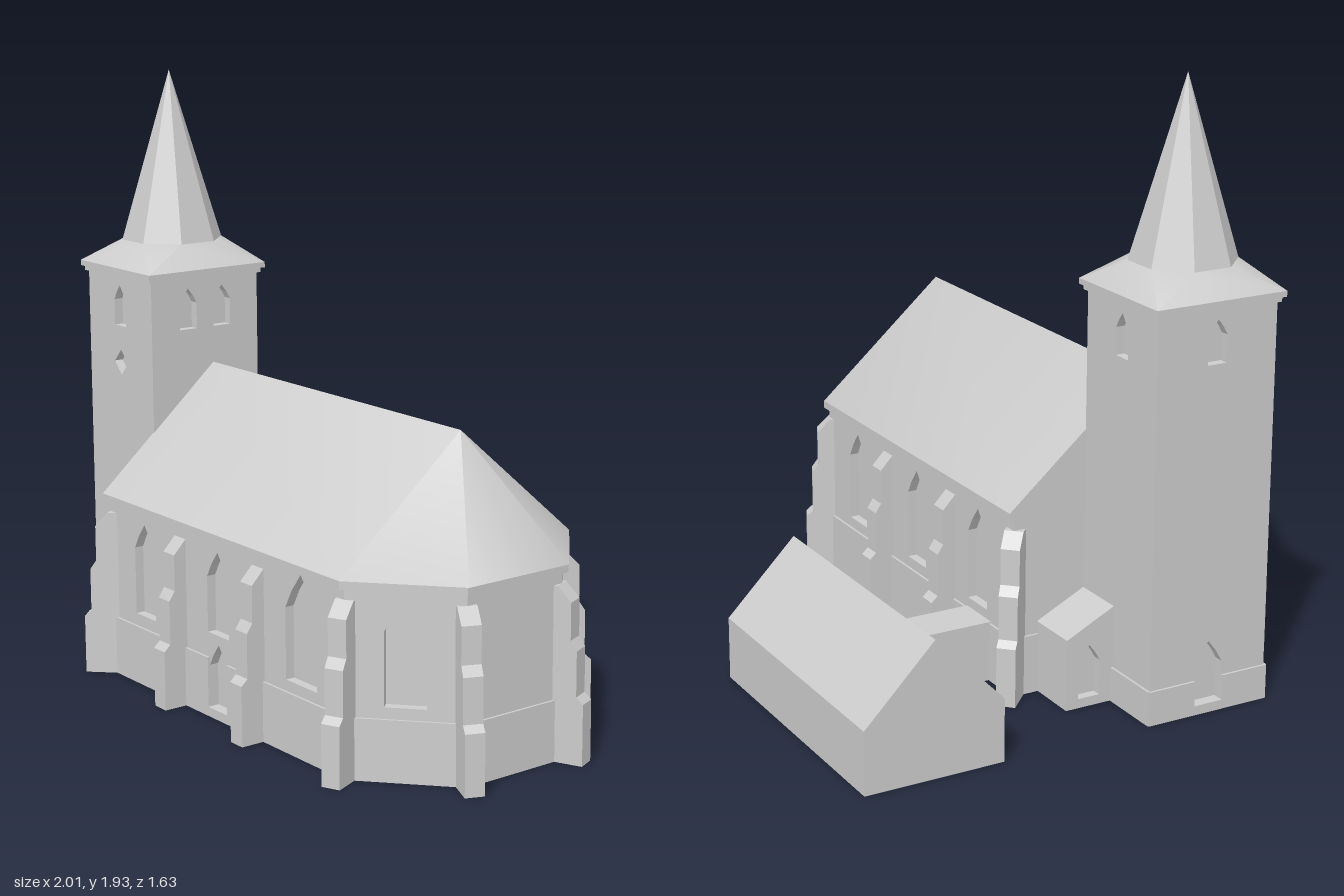
import * as THREE from 'three';
import { toCreasedNormals } from 'three/addons/utils/BufferGeometryUtils.js';
import { ConvexGeometry } from 'three/addons/geometries/ConvexGeometry.js';

const stone = new THREE.MeshStandardMaterial({ color: 0xcccccc });
stone.name = 'pale stone';

const WALL = 0.03; // wall thickness, also the depth of window recesses

function add(parent, name, geometry) {
  const mesh = new THREE.Mesh(geometry, stone);
  mesh.name = name;
  parent.add(mesh);
  return mesh;
}

// Upright prism over a footprint of [x, z] points
function prism(points, y0, y1) {
  const shape = new THREE.Shape(points.map(([x, z]) => new THREE.Vector2(x, -z)));
  return new THREE.ExtrudeGeometry(shape, { depth: y1 - y0, bevelEnabled: false })
    .rotateX(-Math.PI / 2).translate(0, y0, 0);
}

function rect(x0, x1, z0, z1) {
  return [[x0, z1], [x1, z1], [x1, z0], [x0, z0]];
}

function hull(points, crease = 0.01) {
  return toCreasedNormals(new ConvexGeometry(points.map(p => new THREE.Vector3(...p))), crease);
}

// Pointed opening, or a diamond: u = centre along the wall, w = width
function openingPath({ u, w, y0, y1, diamond }) {
  const h = w / 2, spring = y1 - w * 0.75, mid = (y0 + y1) / 2;
  const pts = diamond
    ? [[u, y0], [u + h, mid], [u, y1], [u - h, mid]]
    : [[u - h, y0], [u + h, y0], [u + h, spring], [u + h * 0.6, spring + w * 0.36],
      [u, y1], [u - h * 0.6, spring + w * 0.36], [u - h, spring]];
  return new THREE.Path(pts.map(p => new THREE.Vector2(...p)));
}

// Wall from a to b (outside on the right hand), with openings and a plinth notched for doors
function wall(parent, name, a, b, h, openings = [], plinth = 0, hEnd = h) {
  const dx = b[0] - a[0], dz = b[1] - a[1], len = Math.hypot(dx, dz);
  const group = new THREE.Group();
  group.name = name;
  group.position.set(a[0], 0, a[1]);
  group.rotation.y = Math.atan2(-dz, dx);
  parent.add(group);
  const outline = pts => new THREE.Shape(pts.map(p => new THREE.Vector2(...p)));
  const face = outline([[0, 0], [len, 0], [len, hEnd], [0, h]]);
  face.holes = openings.map(openingPath);
  add(group, name + 'Face', new THREE.ExtrudeGeometry(face, { depth: WALL, bevelEnabled: false })
    .translate(0, 0, -WALL));
  if (!plinth) return;
  const e = 0.004, pts = [[-e, 0], [len + e, 0], [len + e, plinth]];
  for (const o of openings.filter(o => o.y0 < plinth)) {
    const l = o.u - o.w / 2, r = o.u + o.w / 2;
    pts.push([r, plinth], [r, o.y0], [l, o.y0], [l, plinth]);
  }
  pts.push([-e, plinth]);
  add(group, name + 'Plinth', new THREE.ExtrudeGeometry(outline(pts), { depth: 0.008, bevelEnabled: false }));
}

// Stepped buttress at (x, z), pointing outwards along (dx, dz)
function buttress(parent, x, z, dx, dz) {
  const profile = [[-0.04, 0], [0.085, 0], [0.085, 0.19], [0.063, 0.21], [0.063, 0.35],
    [0.043, 0.38], [0.043, 0.495], [0, 0.54], [-0.04, 0.54]];
  const shape = new THREE.Shape(profile.map(p => new THREE.Vector2(...p)));
  const mesh = add(parent, 'buttress',
    new THREE.ExtrudeGeometry(shape, { depth: 0.06, bevelEnabled: false }).translate(0, 0, -0.03));
  mesh.position.set(x, 0, z);
  mesh.rotation.y = Math.atan2(-dz, dx);
}

function buildNave() {
  const nave = new THREE.Group();
  nave.name = 'nave';
  const W = -0.6, S = 0.73, N = -0.11, E = 0.92, C = 0.655, ES = 0.495, EN = 0.135;
  add(nave, 'naveCore', prism([[W + 0.01, S - WALL], [C - 0.012, S - WALL], [E - WALL, ES - 0.012],
    [E - WALL, EN + 0.012], [C - 0.012, N + WALL], [W + 0.01, N + WALL]], 0, 0.59));

  // Side walls with three windows each, a door on the south
  const win = (u, w, y0, y1) => ({ u, w, y0, y1 });
  wall(nave, 'southWall', [W, S], [C, S], 0.58, [win(0.205, 0.115, 0.23, 0.535),
    win(0.615, 0.115, 0.27, 0.535), win(1.045, 0.155, 0.225, 0.565), win(0.615, 0.1, 0.03, 0.24)], 0.19);
  wall(nave, 'northWall', [C, N], [W, N], 0.58,
    [0.215, 0.635, 1.035].map(u => win(u, 0.12, 0.225, 0.54)), 0.19);

  // Choir end
  const side = Math.hypot(E - C, S - ES);
  const choir = [win(side / 2, 0.125, 0.225, 0.545)];
  wall(nave, 'choirSouthWall', [C, S], [E, ES], 0.58, choir, 0.19);
  wall(nave, 'choirEastWall', [E, ES], [E, EN], 0.58, [], 0.19);
  wall(nave, 'choirNorthWall', [E, EN], [C, N], 0.58, choir, 0.19);
  wall(nave, 'westWall', [W, N], [W, S], 0.58, [], 0.19);

  // Buttresses
  for (const x of [-0.19, 0.228]) buttress(nave, x, S, 0, 1);
  for (const x of [-0.205, 0.22]) buttress(nave, x, N, 0, -1);
  for (const [z, zc, s] of [[S, ES, 1], [N, EN, -1]]) {
    buttress(nave, W, z, -1, s);
    buttress(nave, C, z, 0.4, 0.92 * s);
    buttress(nave, E, zc, 0.92, 0.4 * s);
  }

  // Cornice and hipped roof
  const eaves = [[-0.605, 0.752], [0.66, 0.752], [0.94, 0.505], [0.94, 0.125], [0.66, -0.128], [-0.605, -0.128]];
  add(nave, 'naveCornice', prism(eaves.map(([x, z]) => [x > 0.9 ? x - 0.005 : x, z]), 0.575, 0.6));
  add(nave, 'naveRoof', hull([...eaves.map(([x, z]) => [x, 0.6, z]),
    [-0.605, 0.98, 0.318], [0.675, 0.98, 0.318]], 0.87));
  return nave;
}

function buildTower() {
  const tower = new THREE.Group();
  tower.name = 'tower';
  const x0 = -0.98, x1 = -0.6, z0 = 0.14, z1 = 0.555, H = 1.27, cx = -0.79, cz = 0.347;
  add(tower, 'towerCore', prism(rect(x0 + WALL, x1 - WALL, z0 + WALL, z1 - WALL), 0, H));
  const bell = u => ({ u, w: 0.066, y0: 1.1, y1: 1.235 });
  const wx = (x1 - x0) / 2, wz = (z1 - z0) / 2;
  wall(tower, 'towerSouth', [x0, z1], [x1, z1], H,
    [bell(wx), { u: wx, w: 0.08, y0: 0.935, y1: 1.02, diamond: true }], 0.11);
  wall(tower, 'towerEast', [x1, z1], [x1, z0], H, [bell(wz - 0.066), bell(wz + 0.066)]);
  wall(tower, 'towerNorth', [x1, z0], [x0, z0], H, [bell(wx)], 0.11);
  wall(tower, 'towerWest', [x0, z0], [x0, z1], H,
    [bell(wz), { u: wz, w: 0.1, y0: 0.03, y1: 0.23 }], 0.11);

  // Cornice, flared eaves and eight-sided spire
  const eaves = rect(-1, -0.58, 0.12, 0.574);
  add(tower, 'towerCornice', prism(rect(-0.99, -0.59, 0.13, 0.564), 1.262, 1.28));
  add(tower, 'towerEavesEdge', prism(eaves, 1.278, 1.296));
  const ring = [];
  for (let i = 0; i < 8; i++) {
    const a = (i + 0.5) * Math.PI / 4;
    ring.push([cx + 0.166 * Math.cos(a), 1.375, cz + 0.166 * Math.sin(a)]);
  }
  add(tower, 'flaredRoof', hull([...eaves.map(([x, z]) => [x, 1.296, z]), ...ring], 0.87));
  add(tower, 'spire', hull([...ring, [cx, 1.93, cz]]));
  return tower;
}

function buildAnnexes() {
  const annexes = new THREE.Group();
  annexes.name = 'annexes';
  // Lean-to porch in the corner between tower and nave
  const leanTo = (x0, x1) => hull([x0, x1].flatMap(x => [[x, 0, -0.025], [x, 0.23, -0.025],
    [x, 0.31, 0.14], [x, 0, 0.14]]));
  add(annexes, 'porch', leanTo(-0.745, -0.59));
  wall(annexes, 'porchWestWall', [-0.775, -0.025], [-0.775, 0.14], 0.23,
    [{ u: 0.08, w: 0.075, y0: 0.03, y1: 0.2 }], 0, 0.31);
  // Link and gabled hall
  add(annexes, 'link', prism(rect(-0.465, -0.315, -0.37, -0.1), 0, 0.195));
  add(annexes, 'hall', hull([-0.98, -0.055].flatMap(x => [[x, 0, -0.36], [x, 0.2, -0.36],
    [x, 0.43, -0.587], [x, 0.2, -0.815], [x, 0, -0.815]])));
  return annexes;
}

export function createModel() {
  const church = new THREE.Group();
  church.name = 'church';
  church.add(buildNave(), buildTower(), buildAnnexes());
  return church;
}
